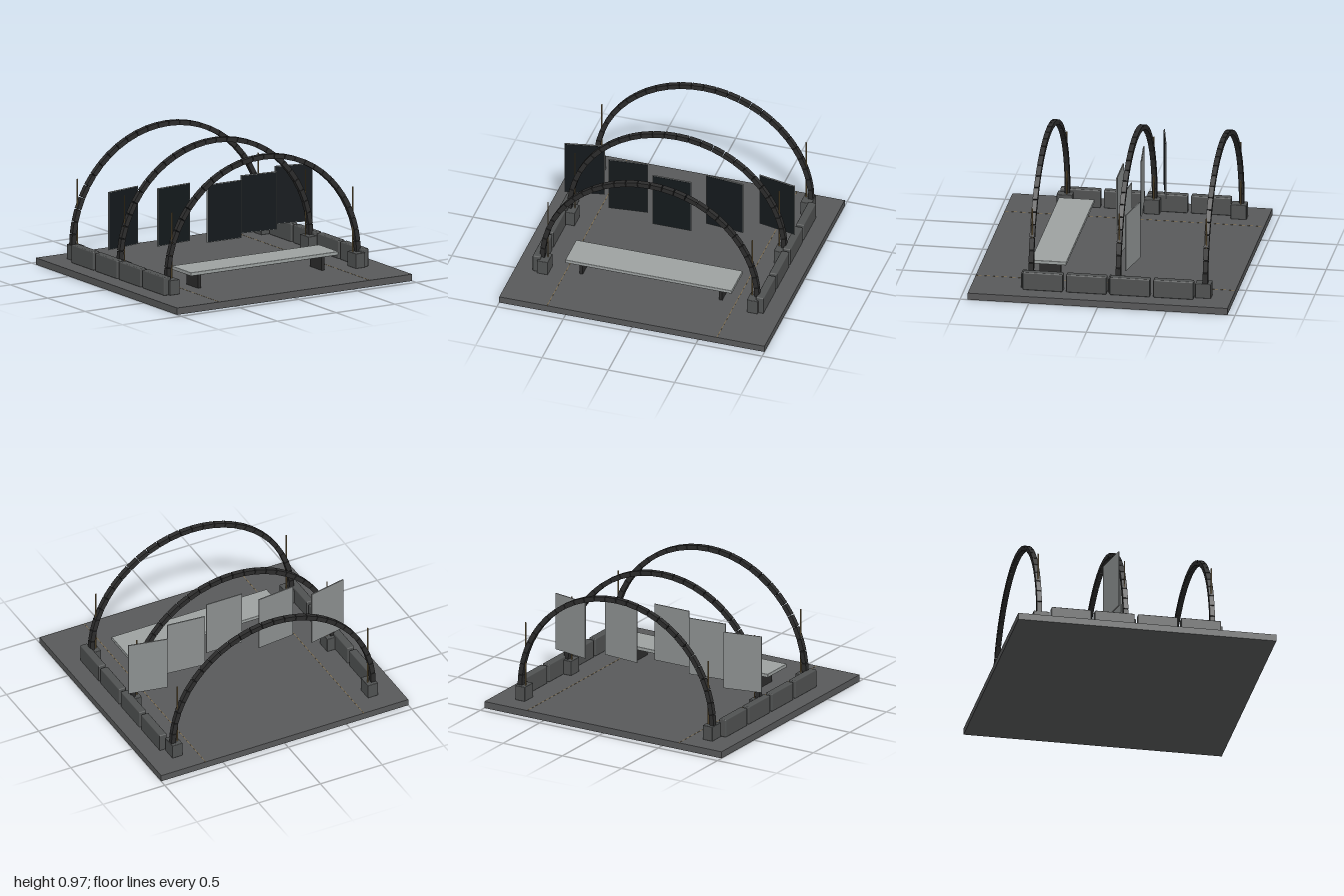
import * as THREE from 'three';
import { RoundedBoxGeometry } from 'three/addons/geometries/RoundedBoxGeometry.js';

const mat = (color) => new THREE.MeshStandardMaterial({ color });

export function createModel() {
  const model = new THREE.Group();
  model.name = 'archedPavilion';

  const floorMat = mat(0x58595a);
  const stoneMat = mat(0x505252);
  const archMat = mat(0x2c2c2c);
  const benchMat = mat(0x9da2a1);
  const frameMat = mat(0x8c9090);
  const screenMat = mat(0x14191c);
  const brassMat = mat(0x8a744c);

  const add = (parent, name, geometry, material, x, y, z) => {
    const mesh = new THREE.Mesh(geometry, material);
    mesh.name = name;
    mesh.position.set(x, y, z);
    parent.add(mesh);
    return mesh;
  };
  const box = (w, h, d) => new THREE.BoxGeometry(w, h, d);

  // Floor slab with two thin inlaid strips
  add(model, 'floor', box(2, 0.05, 1.89), floorMat, 0, 0.025, 0);
  for (const s of [-1, 1]) {
    add(model, 'floorStrip', box(0.004, 0.002, 1.89), brassMat, s * 0.64, 0.05, 0);
  }

  // Segmented arches, each with footings and upright rods
  const segments = 28, radius = 0.808, springY = 0.147;
  const segmentGeo = box(0.036, 0.086, 0.036);
  const footingGeo = new RoundedBoxGeometry(0.082, 0.11, 0.115, 1, 0.004);
  const rodGeo = new THREE.CylinderGeometry(0.005, 0.005, 0.48, 8);
  for (const z of [0.513, -0.121, -0.754]) {
    const arch = new THREE.Group();
    arch.name = 'arch';
    arch.position.z = z;
    model.add(arch);
    for (let i = 0; i < segments; i++) {
      const a = ((i + 0.5) / segments) * Math.PI;
      const part = add(arch, 'archSegment', segmentGeo, archMat,
        radius * Math.cos(a), springY + radius * Math.sin(a), 0);
      part.rotation.z = a;
    }
    for (const s of [-1, 1]) {
      add(arch, 'footing', footingGeo, stoneMat, s * 0.791, 0.105, 0.014);
      add(arch, 'rod', rodGeo, brassMat, s * 0.77, 0.4, 0);
    }
  }

  // Low side walls made of four blocks each
  const wallGeo = new RoundedBoxGeometry(0.058, 0.135, 0.292, 2, 0.008);
  for (const s of [-1, 1]) {
    for (let i = 0; i < 4; i++) {
      add(model, 'wallBlock', wallGeo, stoneMat, s * 0.842, 0.1165, 0.421 - i * 0.3165);
    }
  }

  // Bench
  const bench = new THREE.Group();
  bench.name = 'bench';
  model.add(bench);
  add(bench, 'seat', new RoundedBoxGeometry(1.256, 0.027, 0.26, 1, 0.004), benchMat, -0.002, 0.173, 0.418);
  for (const s of [-1, 1]) {
    add(bench, 'benchLeg', box(0.024, 0.115, 0.155), archMat, s * 0.526, 0.105, 0.42);
  }

  // Floating display panels, angled towards the sides
  const frameGeo = box(0.291, 0.428, 0.008);
  const screenGeo = box(0.281, 0.418, 0.003);
  for (let i = -2; i <= 2; i++) {
    const panel = new THREE.Group();
    panel.name = 'displayPanel';
    panel.position.set(i * 0.363, 0.453, -0.105 * Math.abs(i));
    panel.rotation.y = i * -0.1;
    model.add(panel);
    add(panel, 'panelFrame', frameGeo, frameMat, 0, 0, 0);
    add(panel, 'panelScreen', screenGeo, screenMat, 0, 0, 0.004);
  }

  return model;
}
